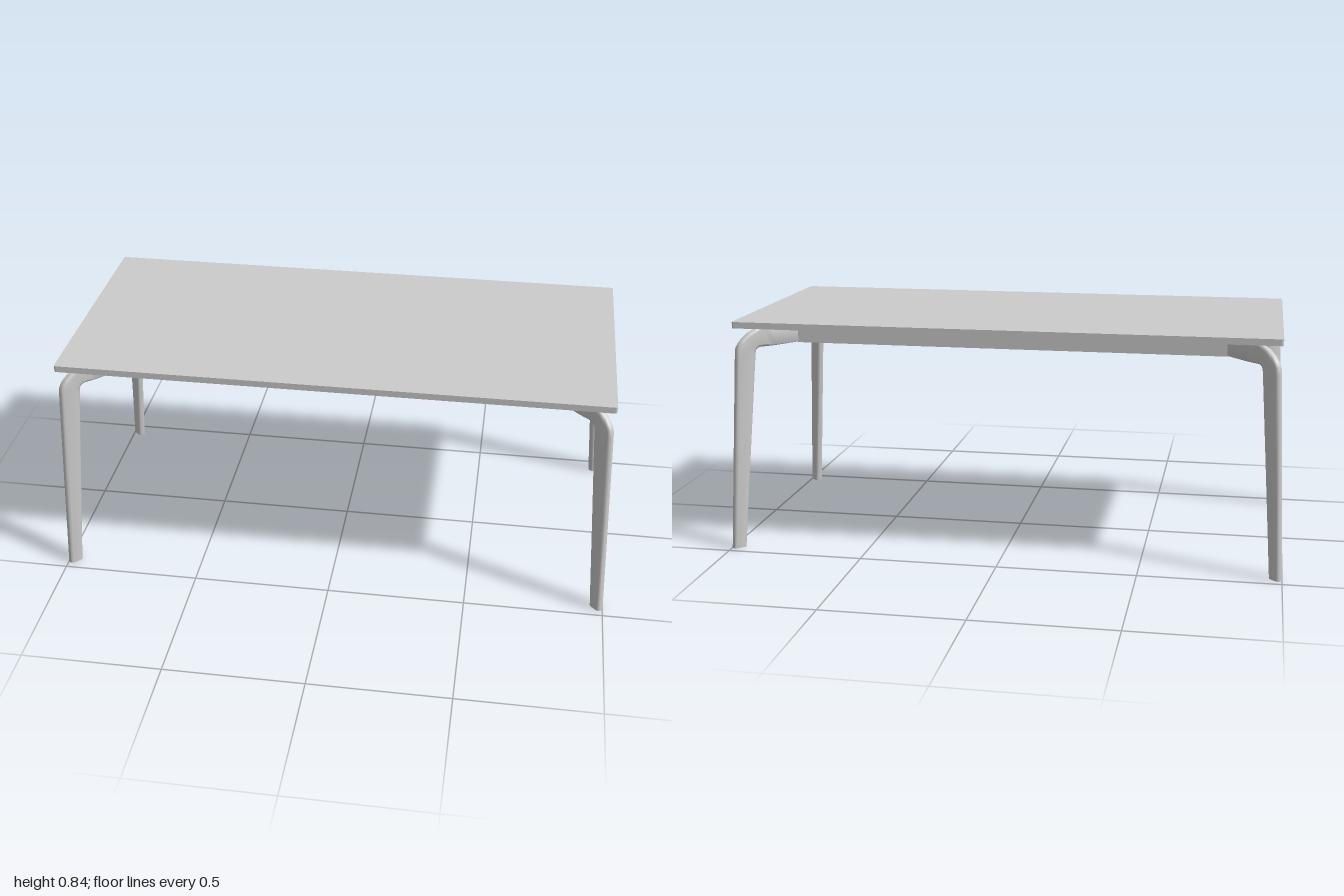
import * as THREE from 'three';
import { toCreasedNormals } from 'three/addons/utils/BufferGeometryUtils.js';

const material = new THREE.MeshStandardMaterial({ color: 0xcccccc });

function addMesh(parent, name, geometry) {
  const mesh = new THREE.Mesh(geometry, material);
  mesh.name = name;
  parent.add(mesh);
  return mesh;
}

// Extrude a plan shape upwards from y0 to y1
function slab(shape, y0, y1) {
  const g = new THREE.ExtrudeGeometry(shape, { depth: y1 - y0, bevelEnabled: false, curveSegments: 6 });
  return g.rotateX(-Math.PI / 2).translate(0, y0, 0);
}

function roundedPlan(w, d, r) {
  const s = new THREE.Shape();
  s.absarc(w - r, d - r, r, 0, Math.PI / 2);
  s.absarc(-w + r, d - r, r, Math.PI / 2, Math.PI);
  s.absarc(-w + r, -d + r, r, Math.PI, Math.PI * 1.5);
  s.absarc(w - r, -d + r, r, Math.PI * 1.5, Math.PI * 2);
  s.closePath();
  return s;
}

// Apron ring: chamfered outer corners receive the legs, inside is a plain rectangle
function apronPlan(w, d, chamfer, thickness) {
  const pts = [];
  for (const [sx, sz] of [[1, 1], [-1, 1], [-1, -1], [1, -1]]) {
    const pair = [
      new THREE.Vector2(sx * w, sz * (d - chamfer)),
      new THREE.Vector2(sx * (w - chamfer), sz * d),
    ];
    pts.push(...(sx * sz > 0 ? pair : pair.reverse()));
  }
  const s = new THREE.Shape(pts);
  const iw = w - thickness, id = d - thickness;
  s.holes.push(new THREE.Path([
    new THREE.Vector2(-iw, -id), new THREE.Vector2(-iw, id),
    new THREE.Vector2(iw, id), new THREE.Vector2(iw, -id),
  ]));
  return s;
}

// Bent leg in the local xy plane, lofted through rounded sections.
// Each section: outer x, outer y, inner x, inner y, edge radius
const THICKNESS = 0.03;
const SECTIONS = [
  [0.666, 0, 0.614, 0, 0.0145],
  [0.642, 0.37, 0.578, 0.36, 0.0145],
  [0.619, 0.72, 0.542, 0.715, 0.0145],
  [0.616, 0.745, 0.540, 0.728, 0.0145],
  [0.607, 0.762, 0.536, 0.736, 0.0145],
  [0.592, 0.778, 0.530, 0.740, 0.0145],
  [0.567, 0.797, 0.522, 0.7415, 0.014],
  [0.536, 0.811, 0.510, 0.742, 0.012],
  [0.505, 0.8185, 0.493, 0.7425, 0.009],
  [0.475, 0.82, 0.470, 0.743, 0.006],
  [0.365, 0.82, 0.365, 0.7475, 0.002],
];

function legGeometry() {
  const perCorner = 6, ring = perCorner * 4;
  const positions = [], index = [];
  for (const [ox, oy, ix, iy, r] of SECTIONS) {
    const half = Math.hypot(ox - ix, oy - iy) / 2;
    const ax = (ox - ix) / (2 * half), ay = (oy - iy) / (2 * half);
    for (let c = 0; c < 4; c++) {
      const sa = c === 0 || c === 3 ? 1 : -1, sb = c < 2 ? 1 : -1;
      for (let k = 0; k < perCorner; k++) {
        const t = (c + k / (perCorner - 1)) * Math.PI / 2;
        const a = sa * (half - r) + r * Math.cos(t);
        const b = sb * (THICKNESS / 2 - r) + r * Math.sin(t);
        positions.push((ox + ix) / 2 + ax * a, (oy + iy) / 2 + ay * a, b);
      }
    }
  }
  const last = SECTIONS.length - 1;
  for (let i = 0; i < last; i++) {
    for (let j = 0; j < ring; j++) {
      const k = (j + 1) % ring, p = i * ring, q = p + ring;
      index.push(p + j, q + j, p + k, q + j, q + k, p + k);
    }
  }
  // End caps
  for (let j = 1; j < ring - 1; j++) {
    index.push(0, j, j + 1);
    index.push(last * ring, last * ring + j + 1, last * ring + j);
  }
  const g = new THREE.BufferGeometry();
  g.setAttribute('position', new THREE.Float32BufferAttribute(positions, 3));
  g.setIndex(index);
  return toCreasedNormals(g, 0.6);
}

export function createModel() {
  const table = new THREE.Group();
  table.name = 'table';

  addMesh(table, 'tableTop', slab(roundedPlan(0.97, 0.445, 0.008), 0.82, 0.843));
  addMesh(table, 'apronFrame', slab(apronPlan(0.803, 0.276, 0.021, 0.025), 0.745, 0.82));

  // Four legs splayed along the diagonals
  const leg = legGeometry();
  for (const [sx, sz, name] of [
    [1, 1, 'frontLeftLeg'], [-1, 1, 'frontRightLeg'],
    [1, -1, 'backLeftLeg'], [-1, -1, 'backRightLeg'],
  ]) {
    const mesh = addMesh(table, name, leg);
    mesh.position.x = sx * 0.526;
    mesh.rotation.y = Math.atan2(-sz, sx);
  }
  return table;
}
